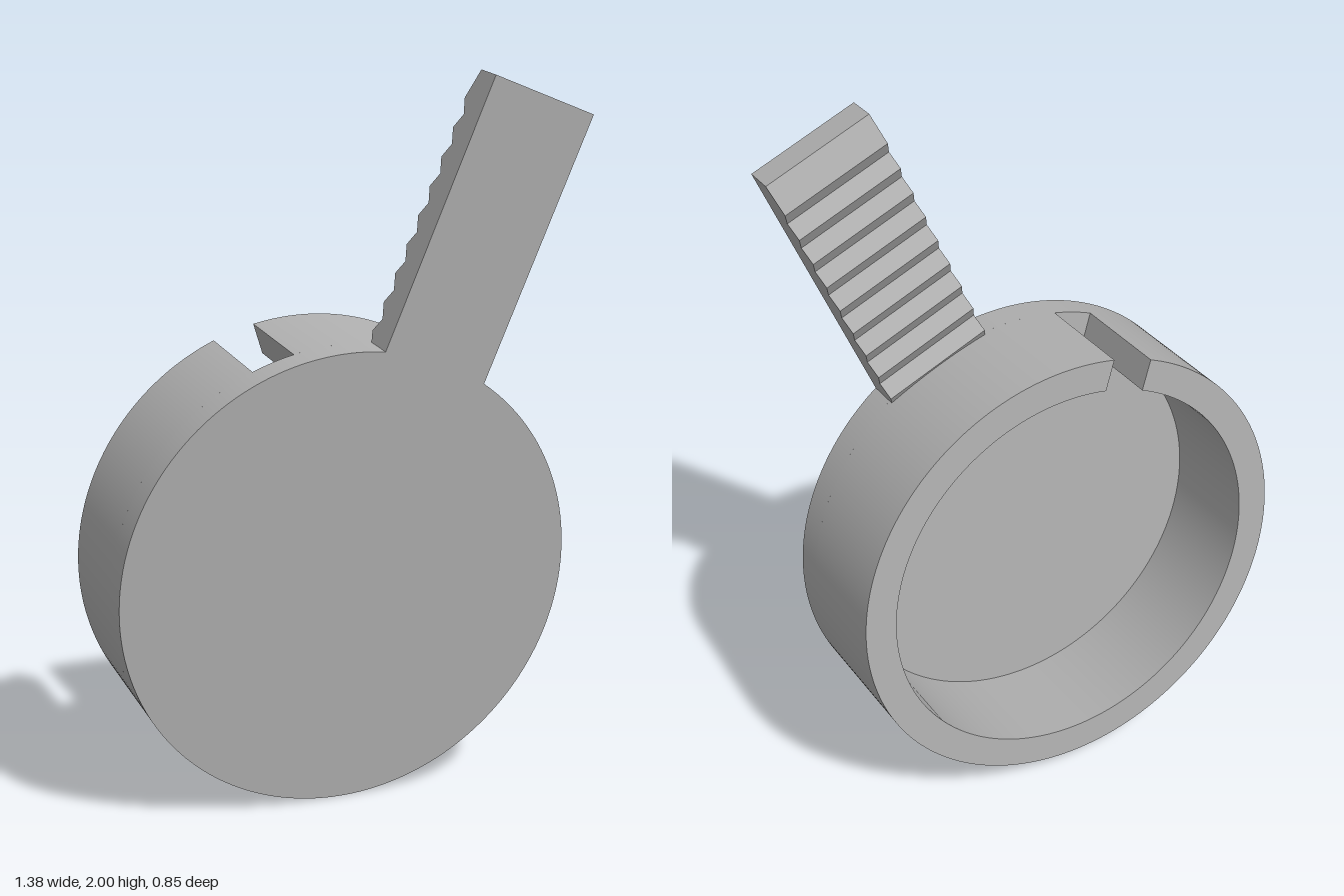
import * as THREE from 'three';
import { toCreasedNormals } from 'three/addons/utils/BufferGeometryUtils.js';

const R = 0.645, INNER = 0.555;        // cup radii
const DEPTH = 0.388, FLOOR = 0.082;    // cup depth and floor thickness
const SLOT_ANGLE = THREE.MathUtils.degToRad(129.6), SLOT_HALF = 0.06;

// Slotted ring wall, open at the back
function wallGeometry() {
  const a = SLOT_ANGLE, full = Math.PI * 2;
  const outer = Math.asin(SLOT_HALF / R), inner = Math.asin(SLOT_HALF / INNER);
  const shape = new THREE.Shape();
  shape.absarc(0, 0, R, a + outer, a - outer + full, false);
  shape.absarc(0, 0, INNER, a - inner + full, a + inner, true);
  shape.closePath();
  const geo = new THREE.ExtrudeGeometry(shape, { depth: DEPTH - FLOOR, bevelEnabled: false, curveSegments: 96 });
  geo.translate(0, 0, -DEPTH);
  return toCreasedNormals(geo, 0.5);
}

// Radial bar with a row of teeth on its back, extruded from its side profile
function barGeometry() {
  const width = 0.314, top = 1.392, base = 0.61, valley = 0.085, peak = 0.114;
  const firstPeak = 1.31, pitch = 0.082, teeth = 8;
  const shape = new THREE.Shape();
  shape.moveTo(0, base);
  shape.lineTo(0, top);
  shape.lineTo(-valley, top);
  for (let i = 0; i <= teeth; i++) {
    const y = firstPeak - i * pitch;
    shape.lineTo(-peak, y);
    shape.lineTo(-valley, y - pitch / 2);
  }
  shape.lineTo(-valley, base);
  shape.closePath();
  const geo = new THREE.ExtrudeGeometry(shape, { depth: width, bevelEnabled: false });
  geo.rotateY(-Math.PI / 2);
  geo.translate(width / 2, 0, 0);
  return geo;
}

export function createModel() {
  const grey = new THREE.MeshStandardMaterial({ color: 0xb0b0b0 });
  grey.name = 'plain grey';

  const body = new THREE.Group();
  body.name = 'slottedCupWithBar';
  const add = (name, geometry) => {
    const mesh = new THREE.Mesh(geometry, grey);
    mesh.name = name;
    body.add(mesh);
  };

  // Closed front face of the cup
  const disc = new THREE.CylinderGeometry(R, R, FLOOR, 192);
  disc.rotateX(Math.PI / 2);
  disc.translate(0, 0, -FLOOR / 2);
  add('frontDisc', disc);
  add('slottedWall', wallGeometry());
  add('toothedBar', barGeometry());

  // Tilt the whole part: bar direction up, disc normal forward
  const normal = new THREE.Vector3(0.369, -0.087, 0.926).normalize();
  const up = new THREE.Vector3(0.363, 0.93, -0.06).addScaledVector(
    normal, -normal.dot(new THREE.Vector3(0.363, 0.93, -0.06))).normalize();
  const side = new THREE.Vector3().crossVectors(up, normal);
  body.quaternion.setFromRotationMatrix(new THREE.Matrix4().makeBasis(side, up, normal));
  body.position.set(0.05, 0.645, 0.183);

  const model = new THREE.Group();
  model.name = 'model';
  model.add(body);
  return model;
}
